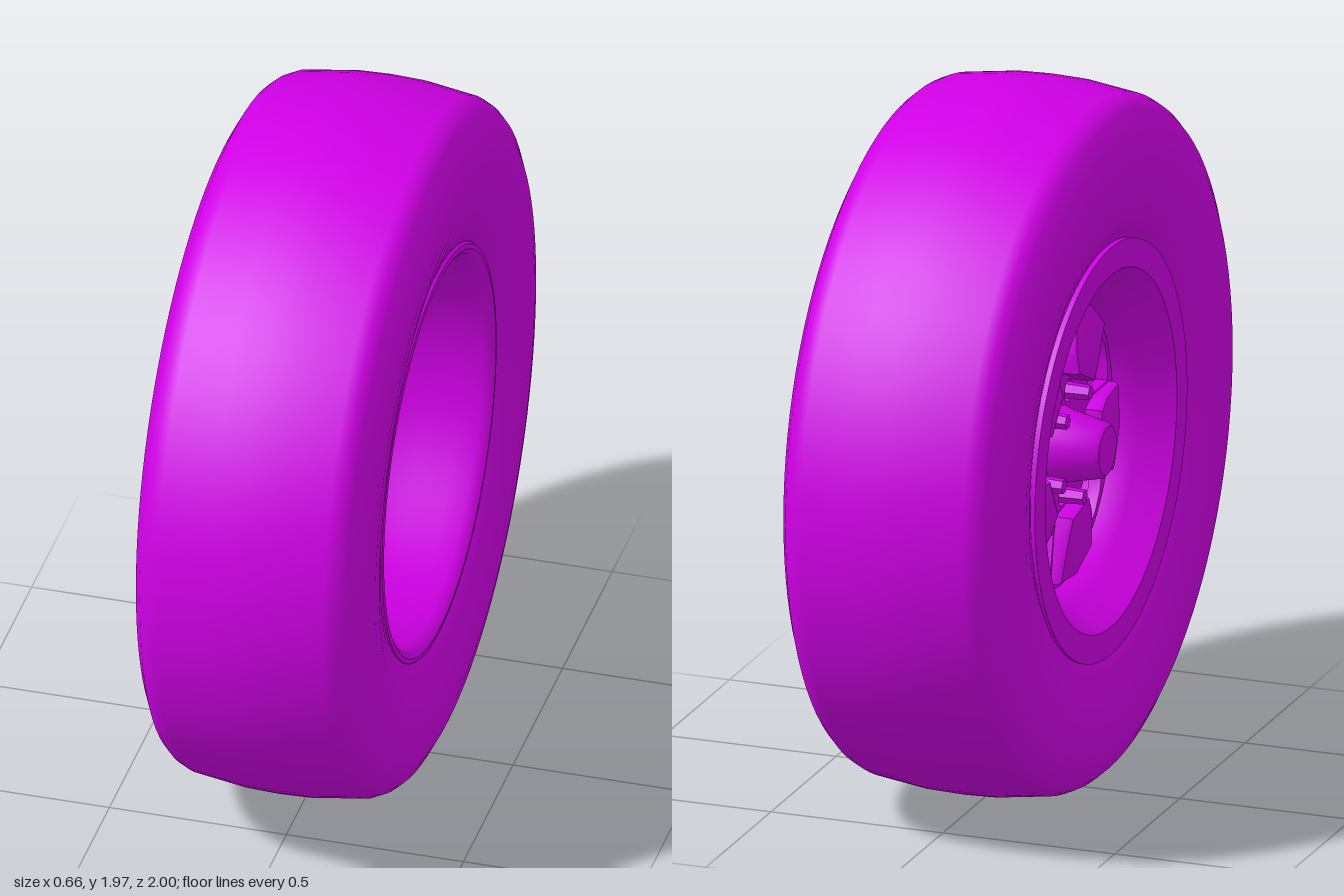
import * as THREE from 'three';
import { toCreasedNormals } from 'three/addons/utils/BufferGeometryUtils.js';

const material = new THREE.MeshStandardMaterial({ color: 0xd000e6, side: THREE.DoubleSide });
const CENTER_Y = 0.977;
const STEP = (Math.PI * 2) / 5;
const WINDOW_ANGLE = THREE.MathUtils.degToRad(27);
const LUG_ANGLE = WINDOW_ANGLE + STEP / 2;

function addMesh(parent, name, geometry) {
  const mesh = new THREE.Mesh(geometry, material);
  mesh.name = name;
  parent.add(mesh);
  return mesh;
}

// Revolve [radius, x] points around the axle (x axis)
function revolve(points, segments, crease) {
  const geo = new THREE.LatheGeometry(points.map(([r, x]) => new THREE.Vector2(r, x)), segments);
  geo.rotateZ(-Math.PI / 2);
  return crease ? toCreasedNormals(geo, crease) : geo;
}

// Extrude a wheel-face shape from x = from towards the outer (-x) side
function extrudeFace(shape, from, depth, bevel = 0) {
  const geo = new THREE.ExtrudeGeometry(shape, {
    depth, curveSegments: 48, bevelEnabled: bevel > 0, bevelSegments: 2,
    bevelSize: bevel, bevelThickness: bevel, bevelOffset: -bevel,
  });
  geo.rotateY(-Math.PI / 2);
  geo.translate(from, 0, 0);
  return geo;
}

const polar = (r, a) => new THREE.Vector2(r * Math.cos(a), r * Math.sin(a));

// Slightly skewed trapezoid, widest at the rim
function windowPoints(angle) {
  return [[0.25, -0.2], [0.375, -0.29], [0.387, -0.15], [0.39, 0],
    [0.385, 0.14], [0.372, 0.26], [0.335, 0.27], [0.25, 0.28]]
    .map(([r, a]) => polar(r, angle + a));
}

function circlePath(c, r) {
  return new THREE.Path().absarc(c.x, c.y, r, 0, Math.PI * 2, true);
}

export function createModel() {
  const wheel = new THREE.Group();
  wheel.name = 'wheel';

  // Tire: squared shoulders, slightly crowned tread, sidewalls dipping to the rim
  const half = [[0.565, 0.25], [0.58, 0.285], [0.64, 0.305], [0.71, 0.322], [0.78, 0.33],
    [0.84, 0.326], [0.89, 0.316], [0.94, 0.291], [0.962, 0.267], [0.977, 0.235], [0.997, 0.09]];
  const profile = [...half.map(([r, x]) => [r, -x]), [1, 0], ...half.slice().reverse(), [0.565, -0.25]];
  const tire = addMesh(wheel, 'tire', revolve(profile, 96));
  tire.scale.y = 0.987;
  tire.position.y = 0.99;

  const rimGroup = new THREE.Group();
  rimGroup.name = 'rim';
  rimGroup.position.y = CENTER_Y;
  wheel.add(rimGroup);

  // Barrel: flat outer lip, narrow throat, deep flared back with a rolled lip
  addMesh(rimGroup, 'barrel', revolve([
    [0.585, -0.3], [0.585, -0.24], [0.53, -0.2], [0.51, -0.1], [0.52, 0.1], [0.56, 0.22],
    [0.585, 0.25], [0.585, 0.282], [0.578, 0.292], [0.565, 0.294], [0.55, 0.284],
    [0.54, 0.262], [0.525, 0.21], [0.505, 0.12], [0.48, 0.02], [0.45, -0.06], [0.412, -0.12],
    [0.412, -0.155], [0.445, -0.21], [0.485, -0.27], [0.505, -0.3], [0.585, -0.3],
  ], 80, 0.6));

  // Face plate with five windows and five lug holes
  const plate = new THREE.Shape().absarc(0, 0, 0.406, 0, Math.PI * 2, false);
  for (let i = 0; i < 5; i++) {
    plate.holes.push(new THREE.Path(windowPoints(WINDOW_ANGLE + i * STEP).reverse()));
    plate.holes.push(circlePath(polar(0.152, LUG_ANGLE + i * STEP), 0.032));
  }
  plate.holes.push(circlePath(new THREE.Vector2(), 0.085));
  addMesh(rimGroup, 'facePlate', toCreasedNormals(extrudeFace(plate, -0.115, 0.035), 0.6));

  for (let i = 0; i < 5; i++) {
    const a = LUG_ANGLE + i * STEP;

    // Raised spoke, rising towards the hub
    const spoke = new THREE.Shape([
      [0.2, -0.3], [0.26, -0.33], [0.385, -0.33], [0.395, 0],
      [0.385, 0.32], [0.26, 0.4], [0.2, 0.36],
    ].map(([r, d]) => polar(r, a + d)));
    const geo = extrudeFace(spoke, -0.14, 0.025, 0.015);
    const pos = geo.attributes.position;
    for (let k = 0; k < pos.count; k++) {
      const r = Math.hypot(pos.getY(k), pos.getZ(k));
      if (pos.getX(k) < -0.15) pos.setX(k, pos.getX(k) - (0.4 - r) * 0.12);
    }
    addMesh(rimGroup, 'spoke', toCreasedNormals(geo, 0.5));

    // Lug nut centred in its hole
    const c = polar(0.152, a);
    const nut = new THREE.CylinderGeometry(0.026, 0.021, 0.1, 6);
    nut.rotateZ(-Math.PI / 2);
    nut.translate(-0.165, c.y, c.x);
    addMesh(rimGroup, 'lugNut', toCreasedNormals(nut, 0.5));
  }

  // Hub: tapered cap with a shallow recessed back and a raised collar
  addMesh(rimGroup, 'hub', revolve([
    [0, -0.29], [0.068, -0.29], [0.078, -0.28], [0.1, -0.18], [0.112, -0.145], [0.112, -0.11],
    [0.1, -0.1], [0.086, -0.1], [0.08, -0.125], [0, -0.125],
  ], 32, 0.6));

  return wheel;
}
